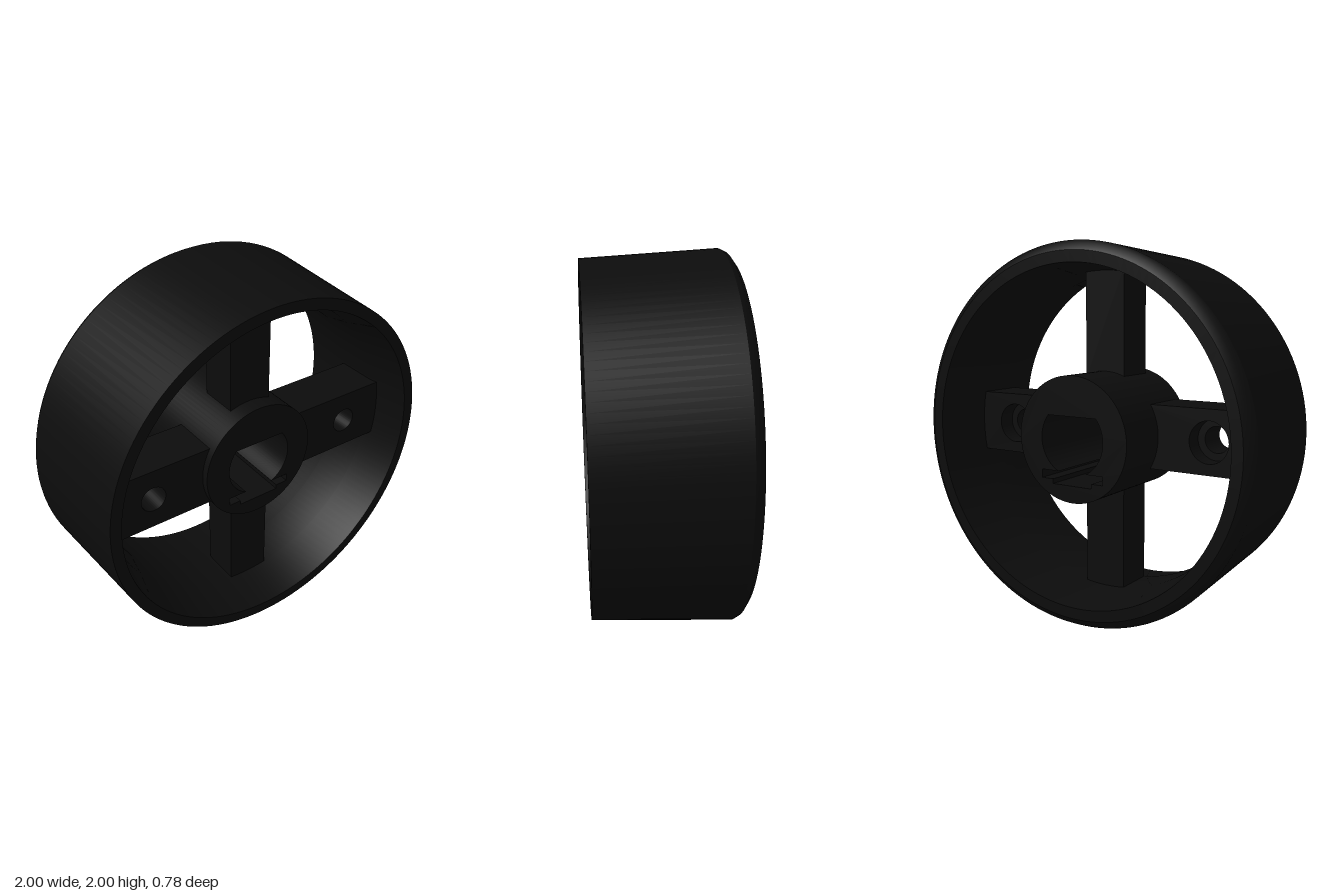
import * as THREE from 'three';
import { toCreasedNormals } from 'three/addons/utils/BufferGeometryUtils.js';

const black = new THREE.MeshStandardMaterial({ color: 0x0c0c0c });
black.name = 'black plastic';

function createPart(name, geometry) {
  const mesh = new THREE.Mesh(toCreasedNormals(geometry, 0.5), black);
  mesh.name = name;
  return mesh;
}

// Extrude a shape from depth z0 to z1
function slab(shape, z0, z1) {
  const g = new THREE.ExtrudeGeometry(shape, { depth: z1 - z0, bevelEnabled: false, curveSegments: 48 });
  return g.translate(0, 0, z0);
}

function polygon(points) {
  return new THREE.Shape(points.map(([x, y]) => new THREE.Vector2(x, y)));
}

function circleHole(x, y, r) {
  const path = new THREE.Path();
  path.absarc(x, y, r, 0, Math.PI * 2, true);
  return path;
}

export function createModel() {
  const wheel = new THREE.Group();
  wheel.name = 'wheel';

  // Rim: tapered tread, chamfered back edge, cavity drafted to a narrow middle
  const profile = [
    [0.95, -0.39], [0.985, -0.365], [1, -0.335], [0.96, 0.39],
    [0.90, 0.39], [0.86, 0.15], [0.86, -0.07], [0.89, -0.39], [0.95, -0.39],
  ].map(([r, z]) => new THREE.Vector2(r, z));
  wheel.add(createPart('rim', new THREE.LatheGeometry(profile, 128).rotateX(Math.PI / 2)));

  // Hub: bore with a flat on top and a stepped slot below
  const hub = new THREE.Shape();
  hub.absarc(0, 0, 0.33, 0, Math.PI * 2, false);
  const r = 0.19;
  const top = Math.asin(0.12 / r);
  const low = Math.asin(0.17 / r);
  const bore = new THREE.Path();
  bore.moveTo(r * Math.cos(top), 0.12);
  bore.absarc(0, 0, r, top, -low, true);
  [[0.19, -0.17], [0.19, -0.215], [0.12, -0.215], [0.12, -0.24],
    [-0.12, -0.24], [-0.12, -0.215], [-0.19, -0.215], [-0.19, -0.17]]
    .forEach(([x, y]) => bore.lineTo(x, y));
  bore.absarc(0, 0, r, Math.PI + low, Math.PI - top, true);
  bore.closePath();
  hub.holes.push(bore);
  wheel.add(createPart('hub', slab(hub, -0.38, 0.24)));

  for (const side of [1, -1]) {
    // Upright spokes
    const upright = new THREE.BoxGeometry(0.24, 0.59, 0.22).translate(0, side * 0.585, 0.04);
    wheel.add(createPart(side > 0 ? 'upperSpoke' : 'lowerSpoke', upright));

    // Cross spokes: screw hole in front, wider recess behind
    const spoke = new THREE.Group();
    spoke.name = side > 0 ? 'leftSpoke' : 'rightSpoke';
    for (const [name, hole, z0, z1] of [['spokeFront', 0.07, 0.03, 0.2], ['spokeBack', 0.11, -0.07, 0.03]]) {
      const a = side > 0 ? 0.25 : -0.87;
      const b = side > 0 ? 0.87 : -0.25;
      const shape = polygon([[a, -0.17], [b, -0.17], [b, 0.17], [a, 0.17]]);
      shape.holes.push(circleHole(side * 0.62, 0, hole));
      spoke.add(createPart(name, slab(shape, z0, z1)));
    }
    wheel.add(spoke);
  }

  wheel.position.y = 1;
  const model = new THREE.Group();
  model.name = 'spokedWheel';
  model.add(wheel);
  return model;
}
